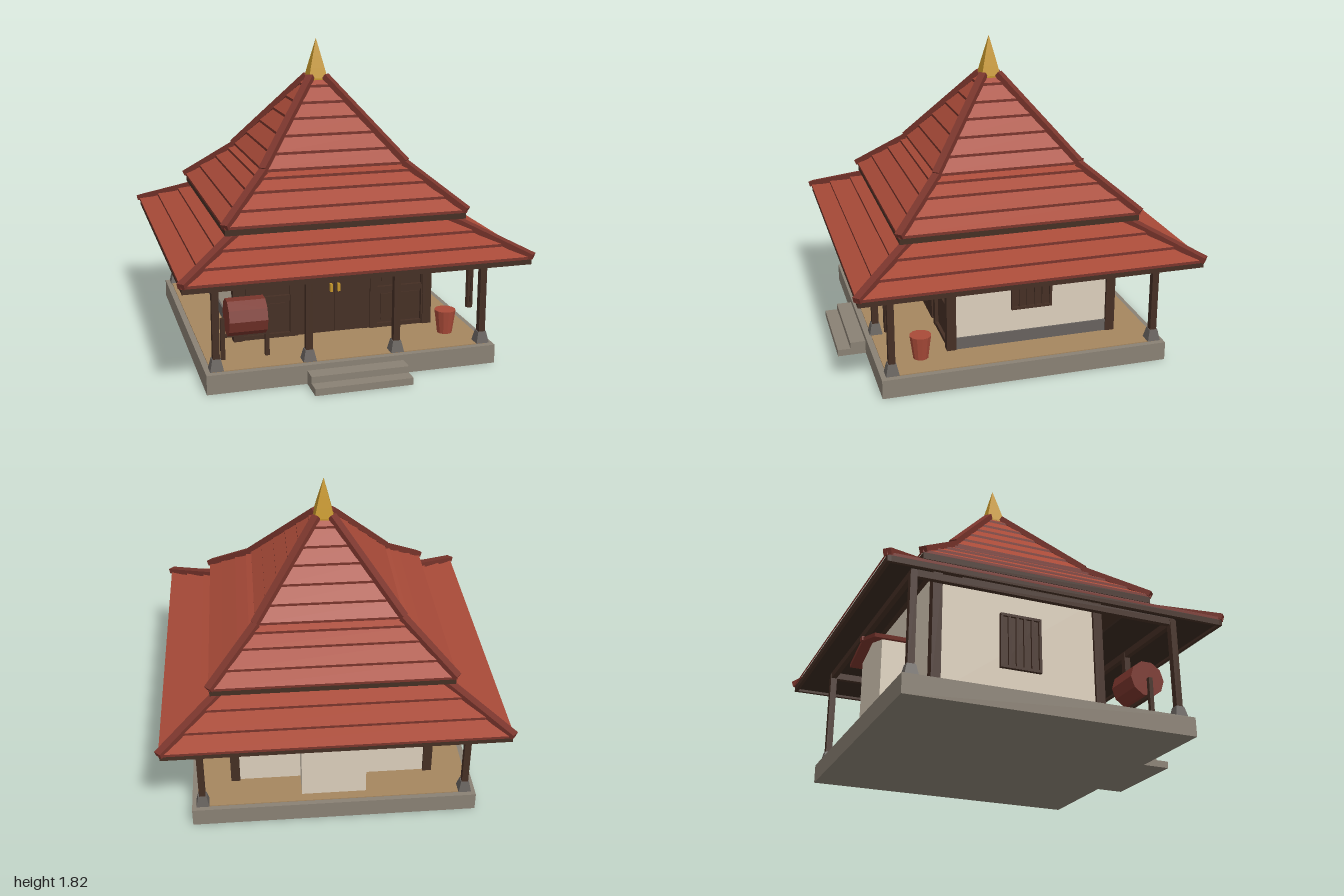
import * as THREE from 'three';

const mat = (name, color, extra = {}) => {
  const m = new THREE.MeshStandardMaterial({ color, flatShading: true, ...extra });
  m.name = name;
  return m;
};

export function createModel() {
  const tile = mat('roof tile', 0xa84a38);
  const darkRed = mat('dark red', 0x7a352c);
  const wood = mat('dark wood', 0x452f24);
  const plaster = mat('cream plaster', 0xdccfbc);
  const stone = mat('stone', 0x8a8174);
  const darkStone = mat('dark stone', 0x67625e);
  const floorTan = mat('tan floor', 0xa5865f);
  const gold = mat('gold', 0xc4952b);

  const model = new THREE.Group();
  model.name = 'pavilion';

  const add = (name, geometry, material, x = 0, y = 0, z = 0) => {
    const m = new THREE.Mesh(geometry, material);
    m.name = name;
    m.position.set(x, y, z);
    model.add(m);
    return m;
  };
  // Box given by its ranges on each axis
  const box = (name, material, x0, x1, y0, y1, z0, z1) =>
    add(name, new THREE.BoxGeometry(x1 - x0, y1 - y0, z1 - z0), material,
      (x0 + x1) / 2, (y0 + y1) / 2, (z0 + z1) / 2);
  // Four-sided open band between two square outlines of half width r
  const band = (name, material, r0, y0, r1, y1) => {
    const g = new THREE.CylinderGeometry(r1 * Math.SQRT2, r0 * Math.SQRT2, y1 - y0, 4, 1, true);
    g.rotateY(Math.PI / 4);
    return add(name, g, material, 0, (y0 + y1) / 2, 0);
  };

  // Platform, floor and entrance steps
  box('platform', stone, -0.838, 0.838, 0, 0.11, -0.835, 0.84);
  box('floor', floorTan, -0.805, 0.805, 0.105, 0.115, -0.805, 0.805);
  box('upperStep', stone, -0.28, 0.28, 0, 0.078, 0.83, 0.93);
  box('lowerStep', stone, -0.28, 0.28, 0, 0.04, 0.83, 1.005);

  // Roof tiers: courses with a vertical riser at each lower edge, hips on the corners
  const riser = 0.016;
  const tier = (name, radii, yLow, yHigh, hipEnd) => {
    const a = radii[0], b = radii[radii.length - 1];
    const yAt = (r) => yLow + ((a - r) / (a - b)) * (yHigh - yLow);
    for (let i = 0; i < radii.length - 1; i++) {
      const y = yAt(radii[i]);
      band(name + 'Riser', darkRed, radii[i], y, radii[i], y + riser);
      band(name + 'Course', tile, radii[i], y + riser, radii[i + 1], yAt(radii[i + 1]));
    }
    for (const sx of [-1, 1]) for (const sz of [-1, 1]) {
      const p = new THREE.Vector3(sx * hipEnd, yAt(hipEnd) + 0.016, sz * hipEnd);
      const q = new THREE.Vector3(sx * b, yHigh + 0.012, sz * b);
      const hip = add(name + 'Hip', new THREE.BoxGeometry(0.045, 0.034, p.distanceTo(q)), darkRed);
      hip.position.copy(p).lerp(q, 0.5);
      hip.lookAt(q);
    }
  };
  tier('lowerRoof', [0.98, 0.87, 0.75, 0.62], 0.655, 0.825, 0.98);
  tier('middleRoof', [0.7, 0.62, 0.53, 0.46, 0.42], 0.87, 1.11, 0.7);
  tier('upperRoof', [0.425, 0.36, 0.29, 0.22, 0.155, 0.085, 0.045], 1.112, 1.58, 0.425);
  box('middleEave', wood, -0.695, 0.695, 0.835, 0.875, -0.695, 0.695);
  box('upperEave', darkRed, -0.42, 0.42, 1.1, 1.116, -0.42, 0.42);

  // Lower eave boards and sloping soffit
  const soffitWood = mat('soffit wood', 0x39281f, { side: THREE.DoubleSide });
  band('lowerSoffit', soffitWood, 0.955, 0.64, 0.62, 0.815);
  band('soffitRim', soffitWood, 0.62, 0.812, 0.62, 0.826);
  for (const s of [-1, 1]) {
    const e = [s * 0.955, s * 0.975].sort((a, b) => a - b);
    box('eaveBoard', wood, -0.975, 0.975, 0.625, 0.66, ...e);
    box('eaveBoard', wood, ...e, 0.625, 0.66, -0.955, 0.955);
    box('verandaBeam', wood, -0.79, 0.79, 0.67, 0.71, s * 0.775 - 0.015, s * 0.775 + 0.015);
    box('verandaBeam', wood, s * 0.775 - 0.015, s * 0.775 + 0.015, 0.67, 0.71, -0.79, 0.79);
  }

  // Gilded spire
  const spire = [[0.058, 1.575], [0.043, 1.64], [0.026, 1.71], [0.011, 1.77], [0, 1.815]];
  add('spire', new THREE.LatheGeometry(
    spire.map(([r, y]) => new THREE.Vector2(r * Math.SQRT2, y)), 4, Math.PI / 4), gold);
  box('spireBase', gold, -0.058, 0.058, 1.57, 1.58, -0.058, 0.058);

  // Veranda posts on tapered stone footings
  const footing = new THREE.CylinderGeometry(0.024 * Math.SQRT2, 0.038 * Math.SQRT2, 0.065, 4);
  footing.rotateY(Math.PI / 4);
  for (const [x, z] of [[-0.775, 0.775], [-0.255, 0.775], [0.255, 0.775], [0.775, 0.775],
    [-0.775, -0.775], [0.775, -0.775]]) {
    box('verandaPost', wood, x - 0.019, x + 0.019, 0.115, 0.7, z - 0.019, z + 0.019);
    add('postFooting', footing, darkStone, x, 0.1475, z);
  }

  // House walls and corner posts
  box('house', plaster, -0.59, 0.59, 0.115, 0.815, -0.59, 0.37);
  box('roofNeck', wood, -0.59, 0.59, 0.81, 0.84, -0.43, 0.42);
  box('frontWall', wood, -0.59, 0.59, 0.115, 0.82, 0.365, 0.39);
  for (const s of [-1, 1]) {
    const px = s * 0.58;
    box('cornerPost', wood, px - 0.027, px + 0.027, 0.115, 0.82, 0.365, 0.42);
    box('cornerPost', wood, px - 0.027, px + 0.027, 0.115, 0.82, -0.605, -0.55);
    const sx = (a, b) => [s * a, s * b].sort((m, n) => m - n);
    box('wallPlinth', darkStone, ...sx(0.58, 0.6), 0.115, 0.185, -0.55, 0.365);

    // Side window with upright bars
    box('windowPane', wood, ...sx(0.58, 0.597), 0.33, 0.64, -0.205, 0.03);
    box('windowSill', wood, ...sx(0.58, 0.612), 0.325, 0.34, -0.21, 0.035);
    box('windowHead', wood, ...sx(0.58, 0.612), 0.63, 0.645, -0.21, 0.035);
    for (let i = 0; i < 6; i++) {
      const z = -0.2025 + i * 0.046;
      box('windowBar', wood, ...sx(0.59, 0.61), 0.335, 0.64, z - 0.0075, z + 0.0075);
    }

    // Front panelling: stiles, rails and raised panels
    for (const [a, b] of [[0.222, 0.268], [0.175, 0.222], [0.545, 0.56]])
      box('stile', wood, ...sx(a, b), 0.115, 0.82, 0.38, a === 0.175 ? 0.402 : 0.412);
    for (const [y0, y1] of [[0.115, 0.14], [0.335, 0.37], [0.61, 0.64]])
      box('rail', wood, ...sx(0.268, 0.545), y0, y1, 0.38, 0.41);
    box('lowerPanel', wood, ...sx(0.295, 0.53), 0.155, 0.32, 0.385, 0.398);
    box('upperPanel', wood, ...sx(0.295, 0.53), 0.385, 0.597, 0.385, 0.398);

    // Door leaf and handle
    box('doorLeaf', wood, ...sx(0.002, 0.174), 0.12, 0.64, 0.385, 0.41);
    box('doorHandle', gold, ...sx(0.016, 0.03), 0.373, 0.42, 0.41, 0.432);
  }

  // Rear niche with a small gabled roof
  box('niche', plaster, -0.19, 0.19, 0.115, 0.57, -0.75, -0.58);
  const gable = new THREE.Shape([[-0.19, 0.56], [0.19, 0.56], [0, 0.615]]
    .map(([x, y]) => new THREE.Vector2(x, y)));
  add('nicheGable', new THREE.ExtrudeGeometry(gable, { depth: 0.17, bevelEnabled: false }),
    plaster, 0, 0, -0.75);
  for (const s of [-1, 1]) {
    const slab = add('nicheRoof', new THREE.BoxGeometry(0.26, 0.022, 0.22), darkRed, s * 0.122, 0.592, -0.7);
    slab.rotation.z = -s * 0.28;
  }
  box('nicheRidge', darkRed, -0.018, 0.018, 0.615, 0.64, -0.82, -0.59);

  // Barrel drum on a wooden stand
  const drum = new THREE.CylinderGeometry(0.105, 0.105, 0.215, 10);
  drum.rotateZ(Math.PI / 2);
  add('drum', drum, darkRed, -0.583, 0.36, 0.645);
  for (const x of [-0.713, -0.461])
    box('drumLeg', wood, x - 0.012, x + 0.012, 0.115, 0.355, 0.633, 0.657);
  box('drumRail', wood, -0.713, -0.461, 0.243, 0.262, 0.635, 0.655);

  // Terracotta pot
  add('pot', new THREE.CylinderGeometry(0.063, 0.044, 0.14, 12), tile, 0.632, 0.185, 0.58);

  // Hanging slit log with its cord
  add('slitLog', new THREE.CylinderGeometry(0.022, 0.022, 0.225, 8), wood, 0.695, 0.4475, 0.775);
  box('slit', soffitWood, 0.691, 0.699, 0.37, 0.525, 0.79, 0.798);
  add('logCord', new THREE.CylinderGeometry(0.003, 0.003, 0.13, 5), wood, 0.695, 0.62, 0.775);

  model.position.z = -0.005;
  const root = new THREE.Group();
  root.add(model);
  return root;
}
